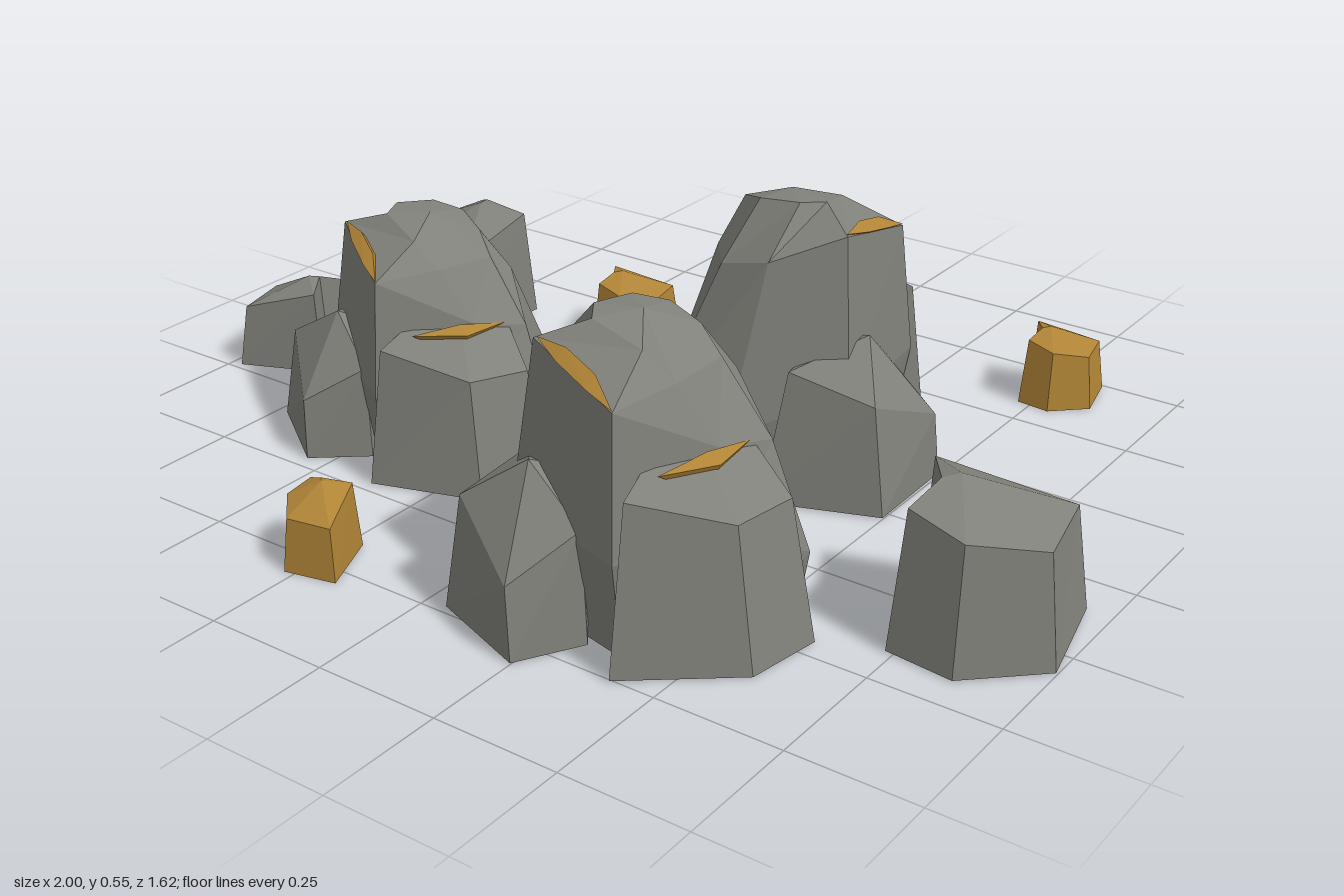
import * as THREE from 'three';
import { ConvexGeometry } from 'three/addons/geometries/ConvexGeometry.js';

const stone = new THREE.MeshStandardMaterial({ color: 0x80817a, flatShading: true });
const gold = new THREE.MeshStandardMaterial({ color: 0xb08436, flatShading: true });

// Closed solid through rings of [x, y, z] points, listed bottom to top and
// counter-clockwise from above; the top fans out from the apex, the base from its centre.
function loft(rings, apex) {
  const n = rings[0].length;
  const pos = rings.flat(2);
  const index = [];
  rings.slice(1).forEach((_, r) => {
    for (let i = 0; i < n; i++) {
      const a = r * n + i, b = r * n + (i + 1) % n;
      index.push(a, b, b + n, a, b + n, a + n);
    }
  });
  const centre = [0, 1, 2].map((k) => rings[0].reduce((s, p) => s + p[k], 0) / n);
  const c = rings.length * n, top = c - n;
  pos.push(...centre, ...apex);
  for (let i = 0; i < n; i++) {
    const j = (i + 1) % n;
    index.push(c, j, i, c + 1, top + i, top + j);
  }
  const g = new THREE.BufferGeometry();
  g.setAttribute('position', new THREE.Float32BufferAttribute(pos, 3));
  g.setIndex(index);
  g.computeVertexNormals();
  return g;
}

const level = (y, pts) => pts.map(([x, z]) => [x, y, z]);

const hull = (pts) => new ConvexGeometry(pts.map((p) => new THREE.Vector3(...p)));

// Main boulder mass: base, belly, shoulder and crown
const body = loft([
  level(0.005, [[0.14, 0.63], [0.39, 0.69], [0.51, 0.56], [0.56, 0.42],
    [0.43, 0.28], [0.28, 0.27], [0.14, 0.28], [0.08, 0.43]]),
  [[0.13, 0.2, 0.65], [0.4, 0.2, 0.725], [0.5, 0.2, 0.54], [0.58, 0.14, 0.41],
    [0.44, 0.1, 0.26], [0.27, 0.1, 0.25], [0.12, 0.1, 0.255], [0.07, 0.13, 0.43]],
  [[0.17, 0.51, 0.63], [0.385, 0.46, 0.7], [0.468, 0.35, 0.52], [0.5, 0.33, 0.41],
    [0.4, 0.42, 0.37], [0.28, 0.43, 0.36], [0.18, 0.43, 0.39], [0.13, 0.46, 0.49]],
  [[0.25, 0.545, 0.575], [0.36, 0.52, 0.585], [0.41, 0.465, 0.56], [0.41, 0.465, 0.43],
    [0.36, 0.51, 0.42], [0.29, 0.53, 0.41], [0.24, 0.545, 0.45], [0.22, 0.55, 0.53]],
], [0.3, 0.55, 0.5]);

// Tall slab leaning on one flank
const slab = loft([
  level(0.005, [[0.415, 0.757], [0.6, 0.61], [0.625, 0.46], [0.5, 0.4], [0.35, 0.65]]),
  [[0.42, 0.32, 0.72], [0.56, 0.27, 0.6], [0.58, 0.27, 0.47], [0.47, 0.345, 0.44], [0.41, 0.35, 0.65]],
], [0.485, 0.333, 0.56]);

// Low chunk at the foot
const chunk = loft([
  level(0.005, [[0.045, 0.735], [0.25, 0.81], [0.32, 0.69], [0.2, 0.55], [0.048, 0.5]]),
  [[0.065, 0.22, 0.71], [0.235, 0.14, 0.8], [0.31, 0.22, 0.69], [0.25, 0.27, 0.58], [0.095, 0.26, 0.54]],
], [0.19, 0.31, 0.675]);

// Gold seams showing along two upper edges
const upperVein = hull([[0.175, 0.513, 0.628], [0.385, 0.463, 0.7], [0.24, 0.497, 0.66],
  [0.325, 0.478, 0.688], [0.245, 0.515, 0.638], [0.323, 0.497, 0.662], [0.28, 0.45, 0.6]]);
const lowerVein = hull([[0.44, 0.345, 0.655], [0.485, 0.343, 0.455], [0.495, 0.341, 0.555],
  [0.468, 0.357, 0.555], [0.46, 0.28, 0.55]]);

const rockParts = [
  ['boulderBody', body, stone], ['sideSlab', slab, stone], ['footChunk', chunk, stone],
  ['upperGoldVein', upperVein, gold], ['lowerGoldVein', lowerVein, gold],
];
rockParts.forEach(([, g]) => g.translate(-0.33, 0, -0.5));

// Small notched stone, shared by pebbles and nuggets
const foot = [[-0.083, 0.06], [-0.105, 0.15], [0.03, 0.165], [0.158, 0.045], [0.11, -0.17], [-0.16, -0.055]];
const topHeights = [0.3, 0.27, 0.245, 0.22, 0.215, 0.28];
const pebble = loft([
  level(0.005, foot),
  foot.map(([x, z], i) => [x * 0.84, topHeights[i], z * 0.84]),
], [-0.045, 0.305, 0.025]);

// x, z, turn in degrees, size along each axis
const boulders = [
  ['frontBoulder', 0.33, 0.5, 0, [1, 1, 1]],
  ['backBoulder', 0.178, -0.158, 111, [1, 1, 1]],
  ['sideBoulder', -0.387, 0.232, -17, [1.02, 0.865, 0.89]],
];

// x, z, turn in degrees, size, material
const smallStones = [
  ['pebble', 0.84, 0.265, 0, 1, stone],
  ['pebble', -0.747, -0.268, -117, 0.85, stone],
  ['pebble', -0.905, 0.128, 180, 0.63, stone],
  ['pebble', -0.028, -0.71, -171, 0.63, stone],
  ['goldNugget', 0.527, -0.655, 0, 0.52, gold],
  ['goldNugget', -0.369, -0.374, 0, 0.53, gold],
  ['goldNugget', -0.249, 0.735, -90, 0.48, gold],
];

export function createModel() {
  const model = new THREE.Group();
  model.name = 'goldOreRocks';
  for (const [name, x, z, turn, size] of boulders) {
    const rock = new THREE.Group();
    rock.name = name;
    for (const [part, geometry, material] of rockParts) {
      const mesh = new THREE.Mesh(geometry, material);
      mesh.name = part;
      rock.add(mesh);
    }
    rock.position.set(x, 0, z);
    rock.rotation.y = THREE.MathUtils.degToRad(turn);
    rock.scale.set(...size);
    model.add(rock);
  }
  for (const [name, x, z, turn, size, material] of smallStones) {
    const mesh = new THREE.Mesh(pebble, material);
    mesh.name = name;
    mesh.position.set(x, 0, z);
    mesh.rotation.y = THREE.MathUtils.degToRad(turn);
    mesh.scale.setScalar(size);
    model.add(mesh);
  }
  return model;
}
